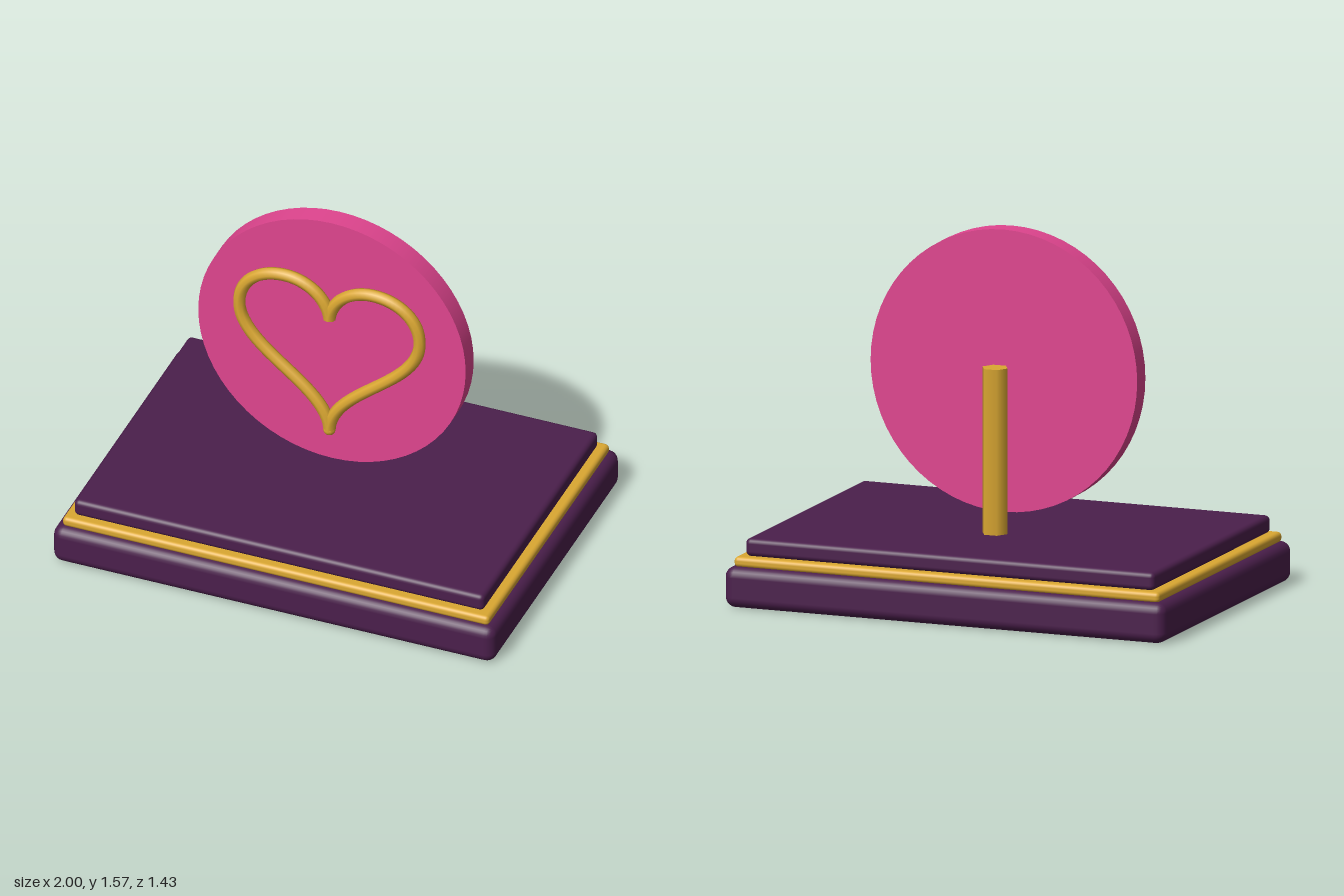
import * as THREE from 'three';
import { RoundedBoxGeometry } from 'three/addons/geometries/RoundedBoxGeometry.js';

const purple = new THREE.MeshStandardMaterial({ color: 0x4b1f4c });
const gold = new THREE.MeshStandardMaterial({ color: 0xdba832 });
const pink = new THREE.MeshStandardMaterial({ color: 0xe0458f });

function addMesh(parent, name, geometry, material, x = 0, y = 0, z = 0) {
  const mesh = new THREE.Mesh(geometry, material);
  mesh.name = name;
  mesh.position.set(x, y, z);
  parent.add(mesh);
  return mesh;
}

// Rounded slab lying between two heights
function addSlab(parent, name, width, depth, bottom, top, radius, material) {
  const geometry = new RoundedBoxGeometry(width, top - bottom, depth, 3, radius);
  addMesh(parent, name, geometry, material, 0, (bottom + top) / 2, 0);
}

// Centre line of one half of the heart, from the notch to the tip
function heartHalf(side) {
  const p = (x, y) => new THREE.Vector3(side * x, y, 0);
  const path = new THREE.CurvePath();
  path.add(new THREE.CubicBezierCurve3(p(0, 1.1), p(0.01, 1.2), p(0.1, 1.27), p(0.2, 1.27)));
  path.add(new THREE.CubicBezierCurve3(p(0.2, 1.27), p(0.32, 1.27), p(0.408, 1.19), p(0.408, 1.08)));
  path.add(new THREE.CubicBezierCurve3(p(0.408, 1.08), p(0.408, 0.85), p(0.01, 0.75), p(0, 0.53)));
  return path;
}

export function createModel() {
  const model = new THREE.Group();
  model.name = 'heartDisplay';

  // Stepped plinth
  addSlab(model, 'base', 2, 1.43, 0, 0.175, 0.045, purple);
  addSlab(model, 'goldTrim', 1.93, 1.36, 0.17, 0.215, 0.018, gold);
  addSlab(model, 'topSlab', 1.855, 1.29, 0.213, 0.29, 0.022, purple);

  // Six-sided post behind the disc
  const postGeometry = new THREE.CylinderGeometry(0.057, 0.057, 0.72, 6);
  postGeometry.rotateY(Math.PI / 6);
  addMesh(model, 'post', postGeometry, gold, 0, 0.64, -0.142);

  // Upright round disc
  const discGeometry = new THREE.CylinderGeometry(0.605, 0.605, 0.09, 64);
  discGeometry.rotateX(Math.PI / 2);
  addMesh(model, 'disc', discGeometry, pink, 0, 0.967, 0);

  // Heart outline on the front of the disc
  const heart = new THREE.Group();
  heart.name = 'heart';
  heart.position.z = 0.073;
  model.add(heart);
  const radius = 0.027;
  for (const side of [-1, 1]) {
    const tube = new THREE.TubeGeometry(heartHalf(side), 64, radius, 8, false);
    addMesh(heart, side > 0 ? 'heartLeft' : 'heartRight', tube, gold);
  }
  // Closed ends at the notch and the tip
  const cap = addMesh(heart, 'notchCap', new THREE.CircleGeometry(radius, 8), gold, 0, 1.1, 0);
  cap.rotation.x = Math.PI / 2;
  addMesh(heart, 'heartTip', new THREE.SphereGeometry(radius, 12, 8), gold, 0, 0.53, 0);

  return model;
}
